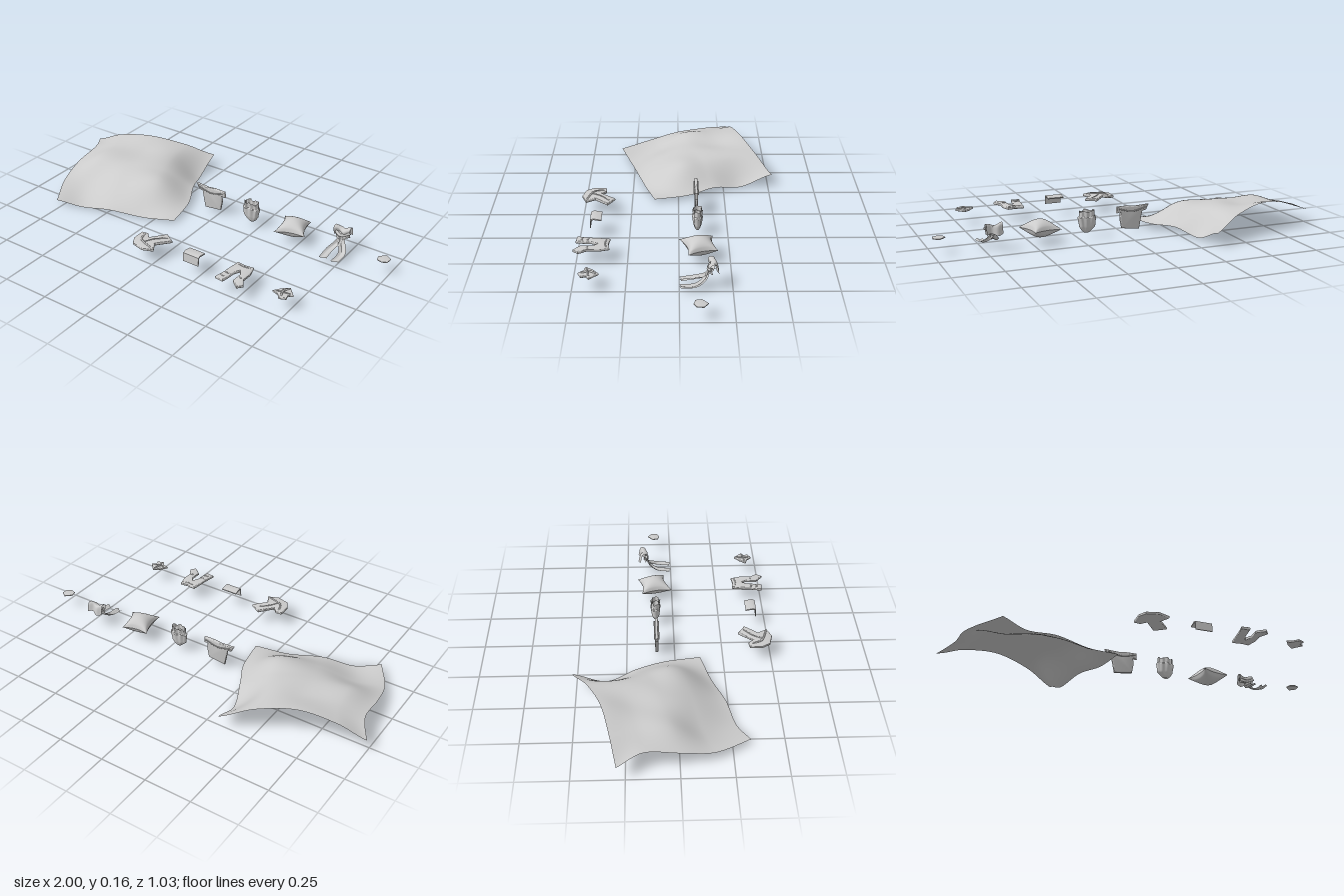
import * as THREE from 'three';
import { toCreasedNormals } from 'three/addons/utils/BufferGeometryUtils.js';

const cloth = new THREE.MeshStandardMaterial({ color: 0xcccccc, side: THREE.DoubleSide });
const V = (x, y, z) => new THREE.Vector3(x, y, z);

// Grid surface from a rule f(u, v) -> Vector3
function surface(f, nu, nv) {
  const g = new THREE.PlaneGeometry(1, 1, nu, nv), p = g.attributes.position;
  for (let i = 0; i < p.count; i++) {
    const q = f(p.getX(i) + 0.5, 0.5 - p.getY(i));
    p.setXYZ(i, q.x, q.y, q.z);
  }
  g.computeVertexNormals();
  return g;
}

// Padded cloth cut from an outline, spanning depth d including its rounded rim
function padded(pts, d) {
  const b = d * 0.35;
  const g = new THREE.ExtrudeGeometry(new THREE.Shape(pts.map(([x, y]) => new THREE.Vector2(x, y))), {
    depth: d - 2 * b, bevelThickness: b, bevelSize: b, bevelOffset: -b, bevelSegments: 3,
  });
  g.translate(0, 0, b - d / 2);
  return toCreasedNormals(g, 0.7);
}

// Padded cloth lying flat: outline given as x, z
function lying(pts, y, d) {
  return padded(pts.map(([x, z]) => [x, -z]), d).rotateX(-Math.PI / 2).translate(0, y, 0);
}

// Soft crease along a few points
const crease = (pts, r = 0.005) =>
  new THREE.TubeGeometry(new THREE.CatmullRomCurve3(pts.map((p) => V(...p))), 16, r, 6);

// Ribbon of cloth, wide in x, following a path
function ribbon(pts, w, sag = 0.006) {
  const c = new THREE.CatmullRomCurve3(pts.map((p) => V(...p)));
  return surface((u, v) => {
    const q = c.getPoint(v);
    q.x += (u - 0.5) * w;
    q.y += sag * Math.sin(u * Math.PI * 2 + v * 3);
    q.z += sag * Math.cos(u * Math.PI * 3);
    return q;
  }, 12, 24);
}

// Draped blanket: outline curves blended inward, heights from a coarse grid
function blanket() {
  const edge = (a) => new THREE.CatmullRomCurve3(a.map(([x, z]) => V(x, 0, z)));
  const back = edge([[-1, -0.29], [-0.86, -0.32], [-0.67, -0.365], [-0.48, -0.44], [-0.33, -0.52]]);
  const front = edge([[-0.78, 0.335], [-0.65, 0.28], [-0.49, 0.24], [-0.31, 0.18], [-0.14, 0.13]]);
  const left = edge([[-1, -0.29], [-0.93, -0.17], [-0.915, 0], [-0.88, 0.16], [-0.78, 0.335]]);
  const right = edge([[-0.33, -0.52], [-0.31, -0.35], [-0.25, -0.2], [-0.18, -0.06], [-0.14, 0.13]]);
  const heights = [
    [0.08, 0.135, 0.163, 0.132, 0.075],
    [0.1, 0.13, 0.135, 0.128, 0.01],
    [0.08, 0.125, 0.128, 0.125, 0.035],
    [0.045, 0.05, 0.09, 0.115, 0.025],
    [0.03, 0.004, 0.02, 0.006, 0.02],
  ];
  const rows = heights.map((r) => new THREE.SplineCurve(r.map((h, i) => new THREE.Vector2(i / 4, h))));
  const corner = [back.getPoint(0), back.getPoint(1), front.getPoint(0), front.getPoint(1)];
  return surface((u, v) => {
    const q = V(0, 0, 0)
      .addScaledVector(back.getPoint(u), 1 - v).addScaledVector(front.getPoint(u), v)
      .addScaledVector(left.getPoint(v), 1 - u).addScaledVector(right.getPoint(v), u)
      .addScaledVector(corner[0], -(1 - u) * (1 - v)).addScaledVector(corner[1], -u * (1 - v))
      .addScaledVector(corner[2], -(1 - u) * v).addScaledVector(corner[3], -u * v);
    const col = new THREE.SplineCurve(rows.map((r, j) => new THREE.Vector2(j / 4, r.getPoint(u).y)));
    const inner = Math.sin(Math.PI * u) * Math.sin(Math.PI * v);
    q.y = Math.max(0, col.getPoint(v).y + 0.003 * inner * Math.sin(u * 17 + v * 9));
    return q;
  }, 48, 48);
}

// Cushion: pinched corners, puffed middle
function cushionSide(s) {
  const c = [[0.36, -0.168], [0.505, -0.19], [0.395, 0.0], [0.55, -0.045]];
  return surface((u, v) => {
    const a = 2 * u - 1, b = 2 * v - 1;
    const U = 0.5 + 0.5 * a * (1 - 0.2 * (1 - b * b)), W = 0.5 + 0.5 * b * (1 - 0.2 * (1 - a * a));
    const mix = (k) => (c[0][k] * (1 - U) + c[1][k] * U) * (1 - W) + (c[2][k] * (1 - U) + c[3][k] * U) * W;
    const puff = Math.pow(Math.max(0, (1 - a * a) * (1 - b * b)), 0.55);
    return V(mix(0), 0.079 + s * 0.046 * puff, mix(1));
  }, 24, 24);
}

// Gathered cloth: pleated rings stacked upward as [y, centre x, half width, half depth]
function gathered() {
  const rings = [[0.028, 0.202, 0.012, 0.006], [0.04, 0.202, 0.026, 0.014], [0.06, 0.198, 0.043, 0.02],
    [0.085, 0.199, 0.046, 0.023], [0.108, 0.2, 0.05, 0.025], [0.113, 0.2, 0.042, 0.02], [0.142, 0.2, 0.042, 0.022]];
  const n = rings.length - 1;
  return surface((u, v) => {
    const t = v * n, i = Math.min(n - 1, Math.floor(t));
    const [y, x, w, d] = rings[i].map((k, j) => THREE.MathUtils.lerp(k, rings[i + 1][j], t - i));
    const a = u * Math.PI * 2, pleat = 1 + 0.22 * v * Math.cos(9 * a);
    return V(x + w * Math.cos(a), y + 0.004 * v * Math.sin(5 * a), -0.095 + d * pleat * Math.sin(a));
  }, 72, 24);
}

export function createModel() {
  const model = new THREE.Group();
  const part = (name, ...geos) => {
    const group = new THREE.Group();
    group.name = name;
    geos.forEach((g) => group.add(new THREE.Mesh(g, cloth)));
    model.add(group);
  };

  part('blanket', blanket());

  // Upright shirt
  part('hangingShirt',
    padded([[-0.145, 0.148], [-0.07, 0.143], [-0.03, 0.148], [0.035, 0.147], [0.036, 0.112], [0.015, 0.115],
      [0.018, 0.08], [0.008, 0.03], [-0.04, 0.024], [-0.09, 0.018], [-0.1, 0.07], [-0.108, 0.112],
      [-0.13, 0.118]], 0.016).translate(0, 0, -0.093),
    ...[-0.082, -0.104].map((z) => crease([[-0.13, 0.135, z], [-0.05, 0.118, z], [0.025, 0.135, z]], 0.003)));

  part('gatheredCloth', gathered());
  part('cushion', cushionSide(1), cushionSide(-1));

  // Scarf: neck loop at the back and two tails falling forward
  const tail = (x0, x1, lift) => ribbon([[x0, 0.125, -0.165], [x0, 0.11, -0.145],
    [(x0 + x1) / 2, 0.06 + lift, -0.125], [x1, 0.034 + lift, -0.08], [x1, 0.028, -0.005]], 0.038, 0.004);
  part('scarf', tail(0.722, 0.678, 0.004), tail(0.69, 0.744, 0),
    ribbon([[0.705, 0.09, -0.15], [0.705, 0.13, -0.14], [0.705, 0.137, -0.165], [0.705, 0.09, -0.18]], 0.085),
    crease([[0.665, 0.115, -0.15], [0.7, 0.1, -0.135], [0.75, 0.12, -0.15]], 0.008));

  part('smallPatch', lying([[0.965, -0.13], [0.995, -0.108], [0.992, -0.075], [0.967, -0.062], [0.938, -0.07],
    [0.932, -0.1]], 0.081, 0.006));

  // Sweater lying flat, arms folded
  part('foldedSweater',
    lying([[-0.025, 0.335], [0.033, 0.372], [-0.025, 0.44], [0.003, 0.488], [-0.055, 0.511], [-0.12, 0.495],
      [-0.145, 0.455], [-0.145, 0.388], [-0.11, 0.383], [-0.085, 0.41]], 0.081, 0.016),
    crease([[-0.12, 0.087, 0.4], [-0.1, 0.09, 0.45], [-0.01, 0.087, 0.485]]),
    crease([[0.0, 0.087, 0.365], [-0.05, 0.089, 0.41], [-0.08, 0.088, 0.46]], 0.004));

  // Towel draped over an edge
  const drape = [[0.39, 0.104], [0.43, 0.112], [0.447, 0.106], [0.45, 0.06], [0.445, 0.06], [0.441, 0.101],
    [0.43, 0.105], [0.391, 0.098]];
  part('drapedTowel', toCreasedNormals(new THREE.ExtrudeGeometry(
    new THREE.Shape(drape.map(([z, y]) => new THREE.Vector2(-z, y))), { depth: 0.09, bevelEnabled: false })
    .rotateY(Math.PI / 2).translate(0.155, 0, 0), 0.8));

  // Trousers lying flat
  part('trousers',
    lying([[0.402, 0.336], [0.45, 0.342], [0.492, 0.336], [0.507, 0.39], [0.505, 0.445], [0.53, 0.485],
      [0.508, 0.513], [0.465, 0.478], [0.468, 0.42], [0.45, 0.395], [0.435, 0.425], [0.432, 0.46],
      [0.425, 0.505], [0.378, 0.5], [0.39, 0.44], [0.395, 0.39]], 0.081, 0.016),
    ...[[0.395, 0.43, 0.44], [0.475, 0.5, 0.44], [0.41, 0.49, 0.352], [0.39, 0.425, 0.47]].map(([a, b, z]) =>
      crease([[a, 0.086, z], [(a + b) / 2, 0.088, z + 0.006], [b, 0.086, z]], 0.004)));

  // Crumpled handkerchief
  part('handkerchief',
    lying([[0.718, 0.372], [0.76, 0.418], [0.738, 0.43], [0.745, 0.455], [0.712, 0.47], [0.69, 0.445],
      [0.658, 0.437], [0.685, 0.4]], 0.08, 0.012),
    crease([[0.718, 0.085, 0.385], [0.705, 0.09, 0.42], [0.715, 0.085, 0.455]]),
    crease([[0.675, 0.085, 0.43], [0.705, 0.088, 0.425], [0.745, 0.085, 0.418]], 0.004));

  return model;
}
